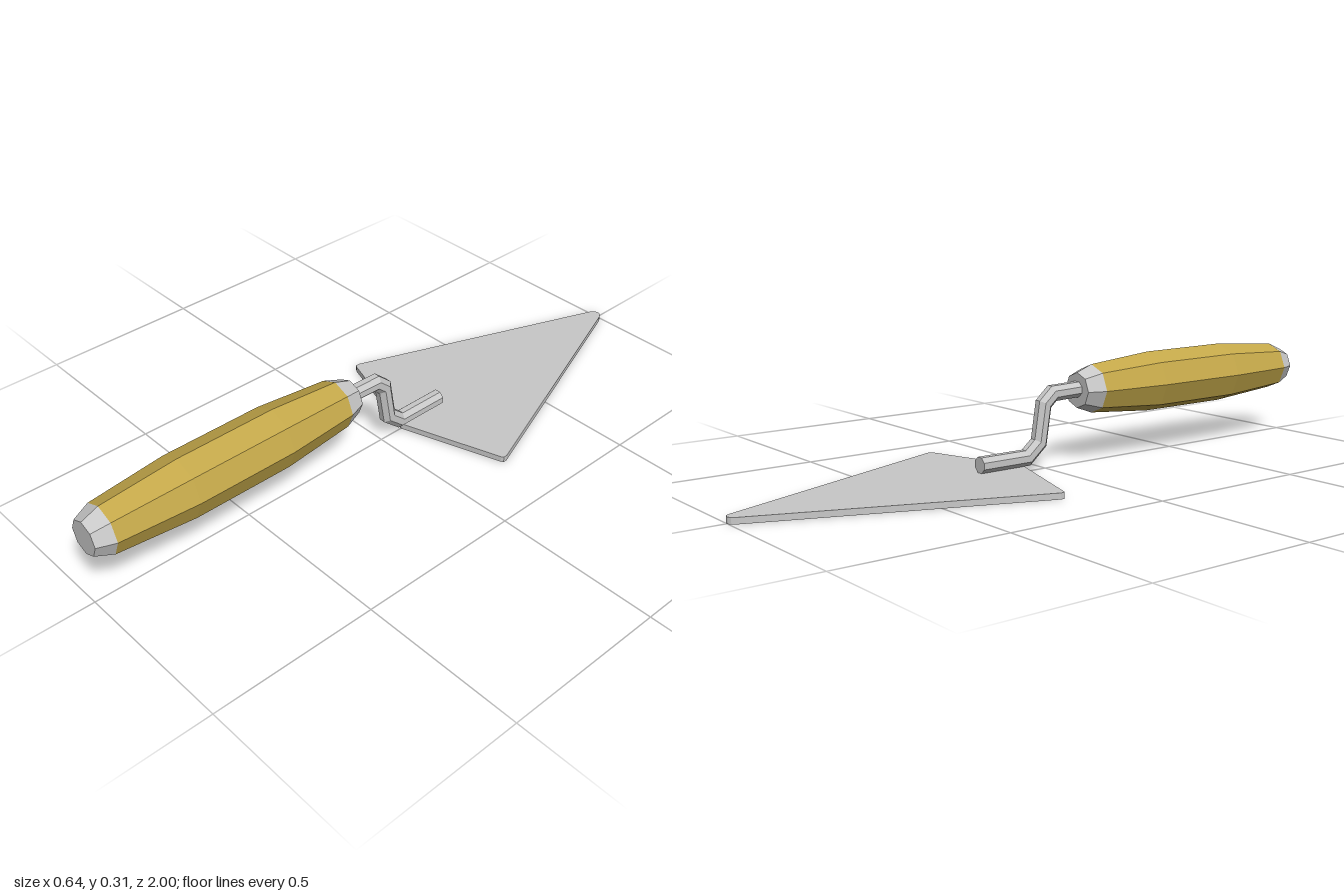
import * as THREE from 'three';

const metal = new THREE.MeshStandardMaterial({ color: 0xc8c8c8 });
metal.name = 'steel grey';
const wood = new THREE.MeshStandardMaterial({ color: 0xc4a84a });
wood.name = 'handle ochre';

const SIDES = 8;
const HANDLE_Y = 0.219;

// Give a geometry hard facets
function faceted(geometry) {
  const flat = geometry.index ? geometry.toNonIndexed() : geometry;
  flat.computeVertexNormals();
  return flat;
}

function addMesh(group, name, geometry, material) {
  const mesh = new THREE.Mesh(geometry, material);
  mesh.name = name;
  group.add(mesh);
}

// Eight-sided turned part along z, from [radius, z] pairs
function turned(profile) {
  const points = profile.map(([r, z]) => new THREE.Vector2(r, z));
  const geometry = new THREE.LatheGeometry(points, SIDES);
  geometry.rotateX(Math.PI / 2);
  geometry.translate(0, HANDLE_Y, 0);
  return faceted(geometry);
}

// Eight-sided rod with mitred joints along [y, z] points
function bentRod(path, apothem) {
  const radius = apothem / Math.cos(Math.PI / SIDES);
  const pts = path.map(([y, z]) => new THREE.Vector2(y, z));
  const directions = pts.slice(1).map((p, i) => p.clone().sub(pts[i]).normalize());
  const positions = [];
  const indices = [];
  const last = pts.length - 1;

  pts.forEach((p, i) => {
    const before = directions[Math.max(i - 1, 0)];
    const after = directions[Math.min(i, last - 1)];
    const mid = before.clone().add(after).normalize();
    const stretch = 1 / mid.dot(before);
    for (let j = 0; j < SIDES; j++) {
      const angle = ((j + 0.5) / SIDES) * Math.PI * 2;
      const up = Math.sin(angle) * radius * stretch;
      positions.push(Math.cos(angle) * radius, p.x - mid.y * up, p.y + mid.x * up);
    }
  });
  for (let i = 0; i < last; i++) {
    for (let j = 0; j < SIDES; j++) {
      const k = (j + 1) % SIDES;
      const a = i * SIDES + j, b = i * SIDES + k;
      const c = b + SIDES, d = a + SIDES;
      indices.push(a, d, c, a, c, b);
    }
  }
  // End caps
  const end = last * SIDES;
  for (let j = 1; j < SIDES - 1; j++) {
    indices.push(0, j, j + 1, end, end + j + 1, end + j);
  }

  const geometry = new THREE.BufferGeometry();
  geometry.setAttribute('position', new THREE.Float32BufferAttribute(positions, 3));
  geometry.setIndex(indices);
  return faceted(geometry);
}

// Flat kite-shaped plate with slightly clipped corners
function bladeGeometry() {
  const half = [[0.314, 0.183], [0.321, 0.188], [0.321, 0.2], [0.022, 0.982], [0.014, 0.995], [0.005, 1]];
  const mirrored = half.map(([x, d]) => [-x, d]).reverse();
  const outline = [[0, 0.08], ...half, ...mirrored];
  const shape = new THREE.Shape(outline.map(([x, d]) => new THREE.Vector2(x, d)));
  const geometry = new THREE.ExtrudeGeometry(shape, { depth: 0.018, bevelEnabled: false });
  geometry.rotateX(-Math.PI / 2);
  return geometry;
}

export function createModel() {
  const model = new THREE.Group();
  model.name = 'trowel';

  addMesh(model, 'blade', bladeGeometry(), metal);

  // Cranked neck between blade and handle
  const neckPath = [[0.223, 0.14], [0.22, 0.026], [0.192, -0.006], [0.08, -0.024], [0.041, -0.07], [0.041, -0.235]];
  addMesh(model, 'neck', bentRod(neckPath, 0.0228), metal);

  // Handle grip with a metal cap at each end
  const grip = [[0.073, 0.175], [0.092, 0.4], [0.092, 0.71], [0.073, 0.948]];
  addMesh(model, 'handleGrip', turned(grip), wood);
  addMesh(model, 'frontFerrule', turned([[0, 0.12], [0.053, 0.12], [0.073, 0.175]]), metal);
  addMesh(model, 'endCap', turned([[0.073, 0.948], [0.052, 1], [0, 1]]), metal);

  return model;
}
